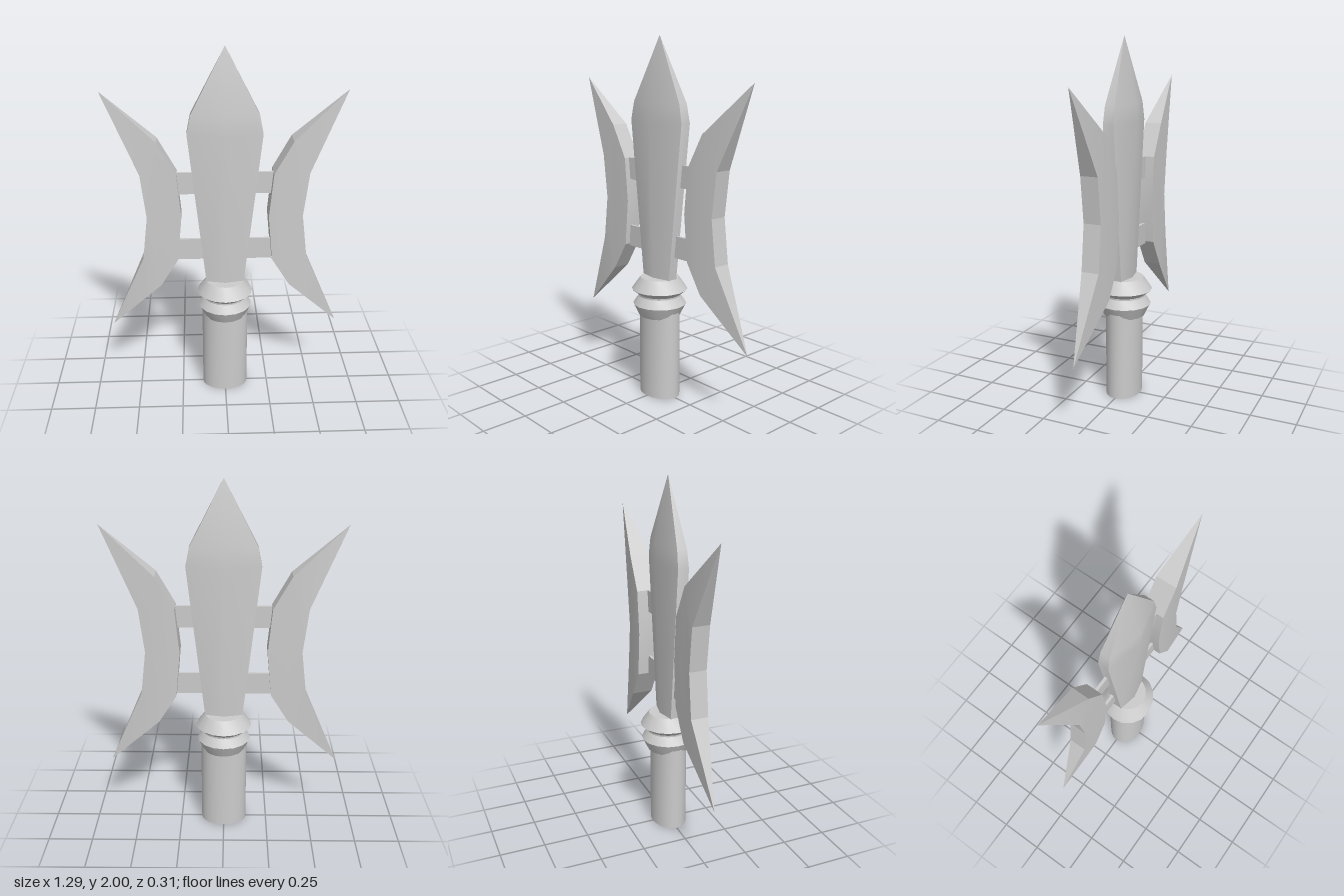
import * as THREE from 'three';
import { toCreasedNormals } from 'three/addons/utils/BufferGeometryUtils.js';

const material = new THREE.MeshStandardMaterial({ color: 0xcccccc });

function part(name, geometry, crease = 0.6) {
  const mesh = new THREE.Mesh(toCreasedNormals(geometry, crease), material);
  mesh.name = name;
  return mesh;
}

// Central blade: six-sided sections [y, half width, ridge depth, edge depth]
function bladeGeometry() {
  const sections = [
    [0.67, 0.103, 0.05, 0.028],
    [1.55, 0.2, 0.076, 0.03],
    [1.65, 0.18, 0.073, 0.027],
    [2, 0, 0, 0],
  ];
  const positions = [], index = [];
  for (const [y, w, c, e] of sections) {
    const ring = [[w, e], [0, c], [-w, e], [-w, -e], [0, -c], [w, -e]];
    for (const [x, z] of ring) positions.push(x, y, z);
  }
  for (let i = 0; i < sections.length - 1; i++) {
    for (let j = 0; j < 6; j++) {
      const a = i * 6 + j, b = i * 6 + (j + 1) % 6;
      index.push(a, a + 6, b);
      if (i < sections.length - 2) index.push(b, a + 6, b + 6);
    }
  }
  const geometry = new THREE.BufferGeometry();
  geometry.setAttribute('position', new THREE.Float32BufferAttribute(positions, 3));
  geometry.setIndex(index);
  return geometry;
}

// Crescent side blade: flat outline whose thickness runs out to points at the tips
function crescentGeometry(side, innerDepth) {
  const outline = [
    [0.645, 1.77], [0.36, 1.51], [0.26, 1.33], [0.237, 1.085], [0.26, 0.83], [0.36, 0.67],
    [0.645, 0.4], [0.453, 0.84], [0.424, 1.085], [0.453, 1.33],
  ];
  const shape = new THREE.Shape(outline.map(([x, y]) => new THREE.Vector2(side * x, y)));
  const geometry = new THREE.ExtrudeGeometry(shape, { depth: 1, bevelEnabled: false });
  const p = geometry.attributes.position;
  for (let i = 0; i < p.count; i++) {
    const x = Math.abs(p.getX(i));
    const depth = x > 0.6 ? 0 : x > 0.4 ? 0.048 : innerDepth;
    p.setZ(i, -0.018 + (p.getZ(i) > 0.5 ? depth : -depth));
  }
  return geometry;
}

export function createModel() {
  const group = new THREE.Group();

  // Oval shaft
  const shaft = new THREE.CylinderGeometry(0.13, 0.13, 0.5, 24);
  shaft.scale(1, 1, 0.75).translate(0, 0.25, 0);
  group.add(part('shaft', shaft));

  // Double-ridged collar
  const profile = [
    [0, 0.47], [0.116, 0.47], [0.149, 0.537], [0.118, 0.583],
    [0.118, 0.592], [0.156, 0.622], [0.108, 0.69], [0, 0.69],
  ].map(([r, y]) => new THREE.Vector2(r, y));
  group.add(part('collar', new THREE.LatheGeometry(profile, 16), 0.5));

  group.add(part('centreBlade', bladeGeometry()));

  // Side blades
  group.add(part('leftCrescent', crescentGeometry(1, 0.06), 0.2));
  group.add(part('rightCrescent', crescentGeometry(-1, 0.048), 0.2));

  // Thin crossbars joining the three blades
  [['lowerCrossbar', 0.88], ['upperCrossbar', 1.27]].forEach(([name, y]) => {
    const bar = new THREE.BoxGeometry(0.52, 0.122, 0.016);
    bar.translate(0, y, -0.008);
    group.add(part(name, bar));
  });

  return group;
}
